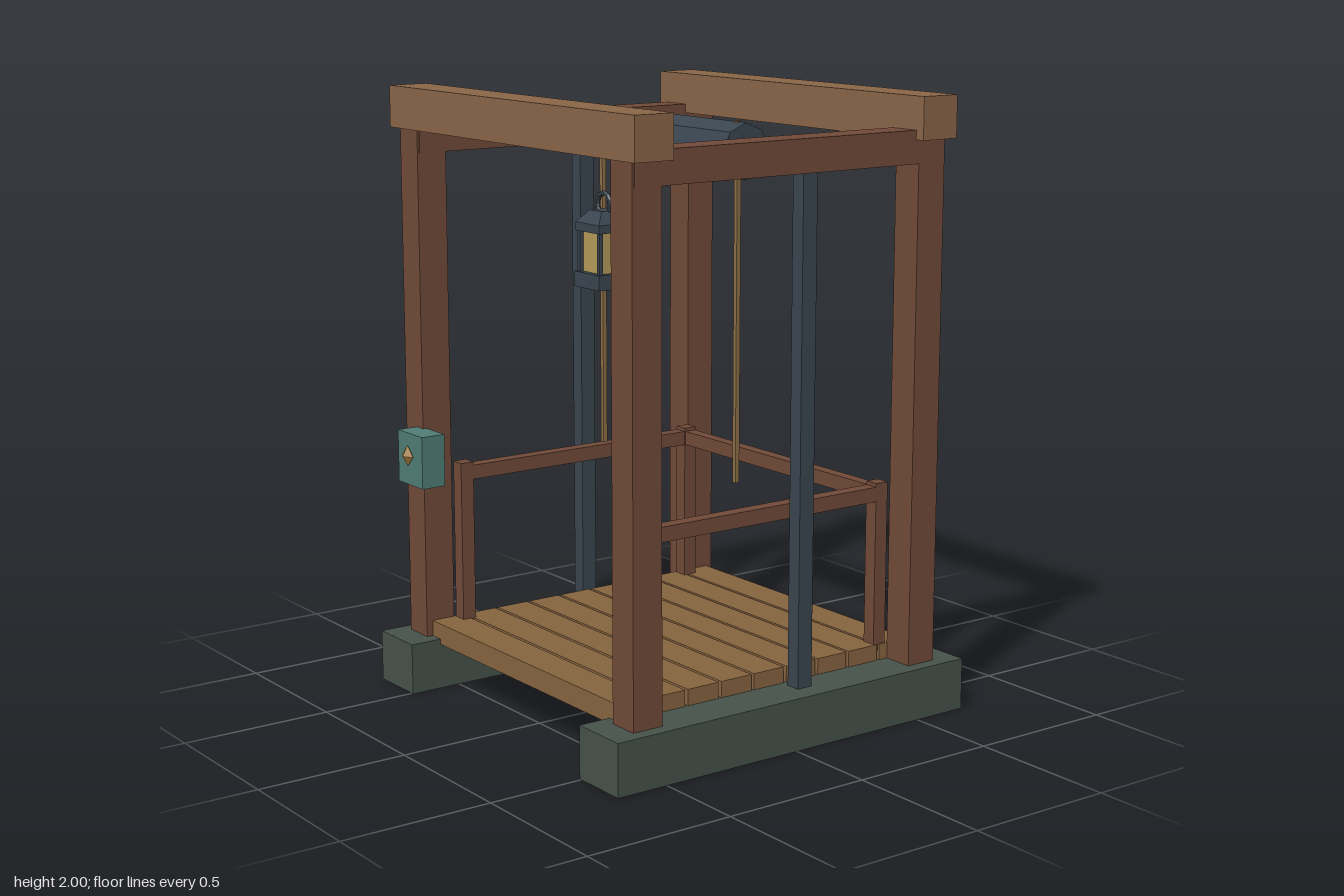
import * as THREE from 'three';

const mat = (color) => new THREE.MeshStandardMaterial({ color, flatShading: true });

export function createModel() {
  const root = new THREE.Group();
  const darkWood = mat(0x704a38), beamWood = mat(0x8a6648), plankWood = mat(0x86643f);
  const stone = mat(0x46524a), iron = mat(0x3a4550), ropeMat = mat(0x8d7048);
  const teal = mat(0x507d75), brass = mat(0xa07838), glass = mat(0xb59a5a);

  const add = (name, geo, material, x, y, z, parent = root) => {
    const m = new THREE.Mesh(geo, material);
    m.name = name;
    m.position.set(x, y, z);
    parent.add(m);
    return m;
  };
  // Box given by centre x, bottom and top y, centre z, width and depth
  const box = (name, material, x, y0, y1, z, w, d, parent = root) =>
    add(name, new THREE.BoxGeometry(w, y1 - y0, d), material, x, (y0 + y1) / 2, z, parent);

  // Main frame, shifted slightly back so the knob at the front stays in bounds
  const frame = new THREE.Group();
  frame.name = 'frame';
  frame.position.z = -0.006;
  root.add(frame);

  for (const s of [-1, 1]) {
    box('sill', stone, s * 0.592, 0, 0.17, 0, 0.2, 1.37, frame);
    box('sideBeam', darkWood, s * 0.594, 1.79, 1.895, 0, 0.112, 1.18, frame);
    box('crossBeam', beamWood, 0, 1.865, 2, s * 0.544, 1.366, 0.138, frame);
    box('guideRail', iron, s * 0.594, 0.165, 1.8, -0.082, 0.05, 0.055, frame);
    box('sideHandrail', darkWood, s * 0.512, 0.7, 0.748, 0, 0.046, 0.93, frame);
    for (const t of [-1, 1]) {
      box('cornerPost', darkWood, s * 0.594, 0.01, 1.875, t * 0.544, 0.106, 0.106, frame);
      box('handrailPost', darkWood, s * 0.512, 0.2, 0.76, t * 0.462, 0.048, 0.048, frame);
    }
  }
  box('backHandrail', darkWood, 0, 0.7, 0.748, -0.462, 1.02, 0.042, frame);

  // Deck planks
  for (let i = -4; i <= 4; i++) {
    box('deckPlank', plankWood, 0, 0.152, 0.223, i * 0.129, 1.085, 0.118, frame);
  }

  // Eight-sided winding drum with two hanging ropes
  const drum = add('windingDrum', new THREE.CylinderGeometry(0.0875, 0.0875, 0.806, 8), iron, 0, 1.838, -0.004, frame);
  drum.rotation.z = Math.PI / 2;
  for (const s of [-1, 1]) box('rope', ropeMat, s * 0.362, 0.793, 1.928, -0.004, 0.015, 0.015, frame);

  // Control box with a diamond-shaped knob
  box('controlBox', teal, -0.505, 0.71, 0.883, 0.62, 0.152, 0.085);
  add('controlKnob', new THREE.OctahedronGeometry(0.035), brass, -0.505, 0.81, 0.672).scale.z = 0.55;

  // Lantern beside the front post
  const lantern = new THREE.Group();
  lantern.name = 'lantern';
  lantern.position.set(0.45, 1.48, 0.55);
  root.add(lantern);
  box('lanternBase', iron, 0, 0, 0.045, 0, 0.126, 0.126, lantern);
  box('lanternGlass', glass, 0, 0.045, 0.167, 0, 0.088, 0.088, lantern);
  for (const s of [-1, 1]) for (const t of [-1, 1]) {
    box('lanternBar', iron, s * 0.05, 0.04, 0.17, t * 0.05, 0.013, 0.013, lantern);
  }
  box('lanternCap', iron, 0, 0.165, 0.19, 0, 0.12, 0.12, lantern);
  const roof = new THREE.CylinderGeometry(0.03 * Math.SQRT2, 0.06 * Math.SQRT2, 0.036, 4).rotateY(Math.PI / 4);
  add('lanternRoof', roof, iron, 0, 0.208, 0, lantern);
  add('lanternRing', new THREE.TorusGeometry(0.033, 0.008, 6, 14), iron, 0, 0.242, 0, lantern);

  return root;
}
